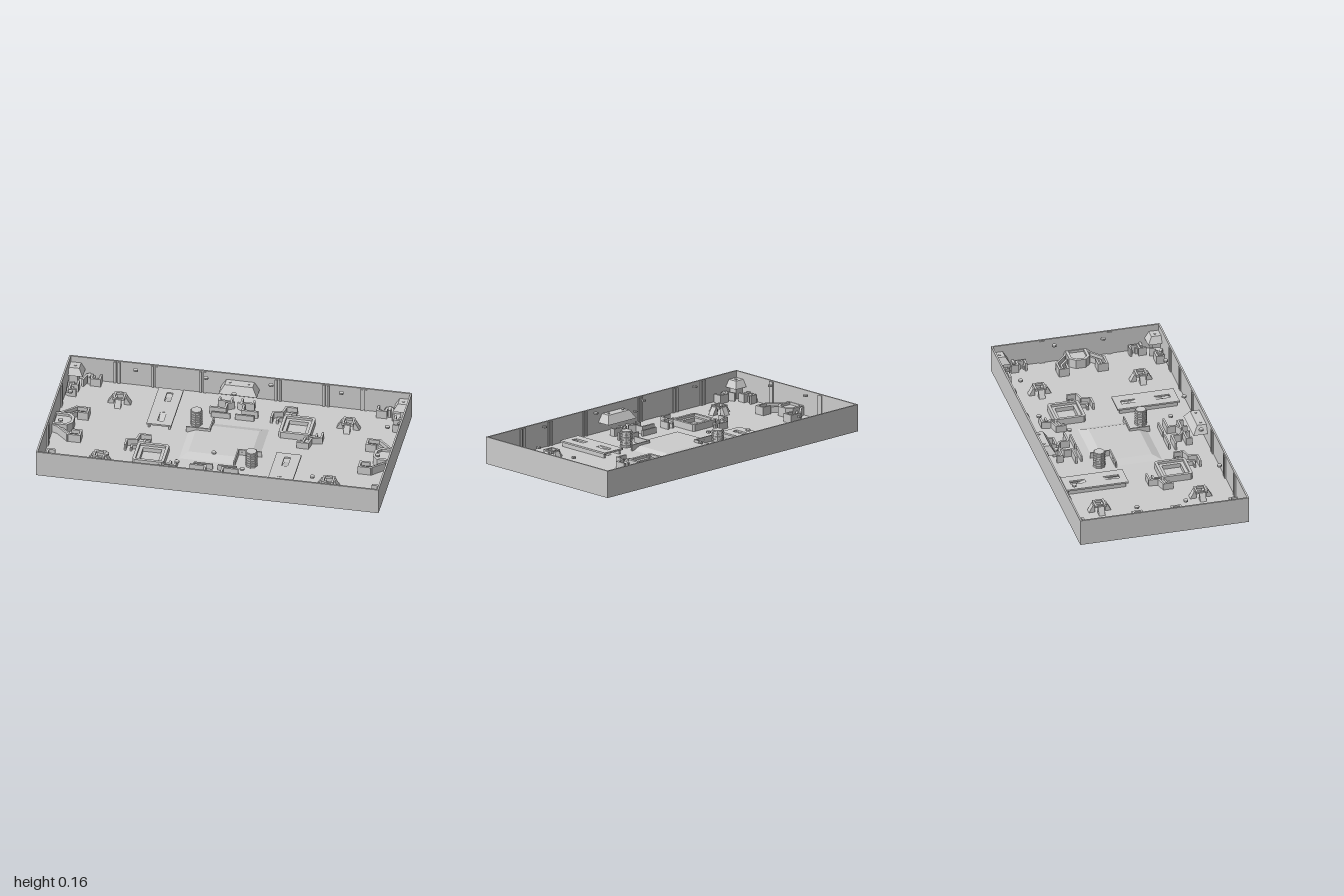
import * as THREE from 'three';

const mat = new THREE.MeshStandardMaterial({ color: 0xcccccc, flatShading: true, side: THREE.DoubleSide });
const FLOOR = 0.01;

export function createModel() {
  const root = new THREE.Group();
  root.name = 'arena';

  function add(geo, name) {
    const mesh = new THREE.Mesh(geo, mat);
    mesh.name = name;
    root.add(mesh);
    return mesh;
  }

  // Axis-aligned block; rect = [x0, x1, z0, z1], optional top rect for bevelled sides.
  // s = [sx, sz] mirrors the block into another quadrant.
  function block(name, rect, y0, y1, s = [1, 1], top = rect) {
    const place = ([a, b, c, d]) => [
      Math.min(a * s[0], b * s[0]), Math.max(a * s[0], b * s[0]),
      Math.min(c * s[1], d * s[1]), Math.max(c * s[1], d * s[1])];
    const lo = place(rect), hi = place(top);
    const geo = new THREE.BoxGeometry(1, 1, 1);
    const p = geo.attributes.position;
    for (let i = 0; i < p.count; i++) {
      const up = p.getY(i) > 0, r = up ? hi : lo;
      p.setXYZ(i, p.getX(i) > 0 ? r[1] : r[0], up ? y1 : y0, p.getZ(i) > 0 ? r[3] : r[2]);
    }
    geo.computeVertexNormals();
    return add(geo, name);
  }

  // Low wall following a list of [x, z] points
  function wall(name, pts, h, s = [1, 1], w = 0.012) {
    for (let i = 0; i < pts.length - 1; i++) {
      const [ax, az] = [pts[i][0] * s[0], pts[i][1] * s[1]];
      const [bx, bz] = [pts[i + 1][0] * s[0], pts[i + 1][1] * s[1]];
      const m = add(new THREE.BoxGeometry(Math.hypot(bx - ax, bz - az) + w, h, w), name);
      m.position.set((ax + bx) / 2, FLOOR + h / 2, (az + bz) / 2);
      m.rotation.y = -Math.atan2(bz - az, bx - ax);
    }
  }

  // Flat shape in x/z extruded upwards, with optional bevel slope and holes
  function plate(name, pts, y0, y1, holes = [], s = [1, 1]) {
    const conv = a => a.map(([x, z]) => new THREE.Vector2(x * s[0], -z * s[1]));
    const shape = new THREE.Shape(conv(pts));
    holes.forEach(h => shape.holes.push(new THREE.Path(conv(h))));
    const geo = new THREE.ExtrudeGeometry(shape, { depth: y1 - y0, bevelEnabled: false });
    geo.rotateX(-Math.PI / 2);
    add(geo, name).position.y = y0;
  }
  const square = (x0, x1, z0, z1) => [[x0, z0], [x1, z0], [x1, z1], [x0, z1]];

  // Block whose top slopes along z from ya (at z0) to yb (at z1)
  function ramp(name, x0, x1, z0, z1, ya, yb, s) {
    const m = block(name, [x0, x1, z0, z1], FLOOR, FLOOR + 0.001, s);
    const p = m.geometry.attributes.position;
    for (let i = 0; i < p.count; i++) {
      if (p.getY(i) > FLOOR) p.setY(i, Math.abs(p.getZ(i) - z0 * s[1]) < 1e-5 ? ya : yb);
    }
    m.geometry.computeVertexNormals();
  }

  const quads = [[1, 1], [-1, 1], [1, -1], [-1, -1]];
  const halves = [[1, 1], [-1, -1]];

  // Tray
  block('floor', [-1, 1, -0.5, 0.5], 0, FLOOR);
  for (const s of halves) {
    block('longWall', [-1, 1, 0.49, 0.5], FLOOR, 0.16, s);
    block('shortWall', [0.99, 1, -0.49, 0.49], FLOOR, 0.16, s);
  }

  // Wall ribs
  for (const s of quads) {
    for (const x of [0.22, 0.5, 0.72]) {
      for (const d of [-0.012, 0.012]) block('wallRib', [x + d - 0.007, x + d + 0.007, 0.483, 0.49], FLOOR, 0.155, s);
    }
    block('wallRib', [0.983, 0.99, 0.185, 0.215], FLOOR, 0.155, s);
  }

  // Floating tokens
  function token(x, z) {
    add(new THREE.CylinderGeometry(0.014, 0.014, 0.01, 8), 'token').position.set(x, 0.154, z);
  }
  for (const [sx, sz] of quads) {
    for (const [x, z] of [[0.6, 0.43], [0.19, 0.43], [0.925, 0.145]]) token(x * sx, z * sz);
  }
  for (const z of [-0.3, 0.3]) token(0, z);

  // Central plateau with two notched corners and sloped edges
  const low = [[-0.1, -0.19], [0.225, -0.19], [0.225, 0.09], [0.1, 0.09], [0.1, 0.19], [-0.225, 0.19], [-0.225, -0.09], [-0.1, -0.09]];
  const high = [[-0.1, -0.14], [0.18, -0.14], [0.18, 0.09], [0.1, 0.09], [0.1, 0.14], [-0.18, 0.14], [-0.18, -0.09], [-0.1, -0.09]];
  plate('plateauTop', high, FLOOR, 0.03);
  const slope = [];
  low.forEach((a, i) => {
    const j = (i + 1) % low.length, b = low[j], c = high[j], d = high[i];
    const A = [a[0], FLOOR, a[1]], B = [b[0], FLOOR, b[1]], C = [c[0], 0.03, c[1]], D = [d[0], 0.03, d[1]];
    slope.push(...A, ...D, ...C, ...A, ...C, ...B);
  });
  const slopeGeo = new THREE.BufferGeometry();
  slopeGeo.setAttribute('position', new THREE.Float32BufferAttribute(slope, 3));
  slopeGeo.computeVertexNormals();
  add(slopeGeo, 'plateauSlope');

  for (const s of halves) {
    // L-shaped wall in the notch of the plateau
    wall('notchWall', [[0.1, 0.2], [0.1, 0.085], [0.235, 0.085]], 0.035, s, 0.008);

    // Tower with stacked floors
    for (let i = 0; i < 6; i++) {
      for (const [r, h, dy] of [[0.036, 0.011, 0], [0.031, 0.005, 0.008]]) {
        add(new THREE.CylinderGeometry(r, r, h, 8), 'tower')
          .position.set(0.195 * s[0], FLOOR + 0.0055 + i * 0.016 + dy, 0.175 * s[1]);
      }
    }

    // Raised deck with two slots and the ramps inside them
    plate('deck', square(0.322, 0.467, 0.072, 0.44), 0.035, 0.045,
      [square(0.375, 0.41, 0.11, 0.2), square(0.375, 0.41, 0.31, 0.4)], s);
    for (const x of [0.33, 0.449]) block('deckSupport', [x, x + 0.01, 0.085, 0.427], FLOOR, 0.035, s);
    ramp('deckRamp', 0.375, 0.41, 0.11, 0.2, 0.012, 0.043, s);
    ramp('deckRamp', 0.375, 0.41, 0.31, 0.4, 0.043, 0.012, s);

    // Square bunker: tall chamfered rim, low inner step
    const cx = 0.385, cz = -0.215, o = 0.092, c = 0.012;
    const rim = [[-o + c, -o], [o - c, -o], [o, -o + c], [o, o - c], [o - c, o], [-o + c, o], [-o, o - c], [-o, -o + c]]
      .map(([x, z]) => [cx + x, cz + z]);
    const ring = r => square(cx - r, cx + r, cz - r, cz + r);
    plate('bunkerRim', rim, FLOOR, 0.05, [ring(0.075)], s);
    plate('bunkerStep', ring(0.075), FLOOR, 0.035, [ring(0.055)], s);

    // Zigzag trenches on two opposite bunker corners
    for (const k of [1, -1]) {
      const at = pts => pts.map(([x, z]) => [cx + k * x, cz + k * z]);
      wall('trenchWall', at([[-0.035, -0.168], [-0.095, -0.168], [-0.105, -0.115], [-0.16, -0.1], [-0.16, -0.05]]), 0.04, s);
      wall('trenchInner', at([[-0.035, -0.135], [-0.06, -0.135], [-0.068, -0.085], [-0.125, -0.07], [-0.125, -0.05]]), 0.025, s);
      const [p, q] = [at([[-0.1, -0.15]])[0], at([[-0.066, -0.1]])[0]];
      block('trenchStep', [p[0], q[0], p[1], q[1]], FLOOR, 0.025, s);
    }
  }

  for (const s of quads) {
    // Small cross-shaped shelter with a raised frame on sloped legs
    const x = 0.668, z = 0.3;
    plate('shelterFrame', square(x - 0.034, x + 0.034, z - 0.034, z + 0.034), 0.045, 0.06,
      [square(x - 0.022, x + 0.022, z - 0.022, z + 0.022)], s);
    for (const d of [1, -1]) {
      block('shelterLeg', [x + d * 0.03, x + d * 0.068, z - 0.018, z + 0.018], FLOOR, 0.055, s,
        [x + d * 0.03, x + d * 0.042, z - 0.018, z + 0.018]);
      block('shelterLeg', [x - 0.018, x + 0.018, z + d * 0.03, z + d * 0.066], FLOOR, 0.055, s,
        [x - 0.018, x + 0.018, z + d * 0.03, z + d * 0.042]);
    }

    // Corner turret: bevelled cap on a post
    block('cornerCap', [0.905, 0.99, 0.408, 0.49], 0.08, 0.12, s, [0.93, 0.99, 0.433, 0.49]);
    block('cornerPost', [0.94, 0.99, 0.44, 0.49], FLOOR, 0.08, s);
    add(new THREE.CylinderGeometry(0.008, 0.008, 0.004, 8), 'capStud').position.set(0.957 * s[0], 0.122, 0.46 * s[1]);

    // Stepped barricades beside the corner turret
    wall('barricade', [[0.905, 0.42], [0.89, 0.47], [0.86, 0.47], [0.86, 0.435], [0.81, 0.435], [0.81, 0.475]], 0.05, s);
    wall('barricade', [[0.925, 0.395], [0.925, 0.36], [0.965, 0.36], [0.965, 0.31], [0.93, 0.31]], 0.05, s);
    for (let i = 0; i < 3; i++) {
      block('barricadeStep', [0.82 + i * 0.025, 0.835 + i * 0.025, 0.445, 0.485], FLOOR, 0.03 + i * 0.015, s);
      block('barricadeStep', [0.945, 0.985, 0.31 + i * 0.03, 0.325 + i * 0.03], FLOOR, 0.03 + i * 0.015, s);
    }

    // Curved arms of the end gate
    wall('gateArm', [[0.99, 0.06], [0.955, 0.075], [0.885, 0.14], [0.815, 0.14], [0.815, 0.09], [0.865, 0.09]], 0.05, s);
    wall('gateArmInner', [[0.93, 0.07], [0.88, 0.115], [0.835, 0.115]], 0.035, s);

    // Forked walls in front of the side gate
    wall('forkWall', [[0.03, 0.4], [0.03, 0.37], [0.1, 0.37], [0.1, 0.395]], 0.045, s);
    wall('forkWall', [[0.015, 0.365], [0.05, 0.345], [0.05, 0.295], [0.135, 0.295]], 0.045, s);
    wall('forkWall', [[0.02, 0.26], [0.12, 0.26]], 0.035, s, 0.01);
  }

  for (const s of halves) {
    // Side gate canopy on the long wall
    block('canopy', [-0.112, 0.112, 0.406, 0.49], 0.07, 0.118, s, [-0.082, 0.082, 0.436, 0.49]);
    for (const x of [-0.055, 0.055]) {
      add(new THREE.CylinderGeometry(0.007, 0.007, 0.004, 8), 'capStud').position.set(x, 0.12, 0.463 * s[1]);
    }

    // End gate: bay with a chamfered rim
    const bay = [[0.99, -0.062], [0.905, -0.062], [0.875, -0.03], [0.875, 0.03], [0.905, 0.062], [0.99, 0.062]];
    const inner = [[0.985, -0.045], [0.912, -0.045], [0.892, -0.022], [0.892, 0.022], [0.912, 0.045], [0.985, 0.045]];
    plate('gateRim', bay, FLOOR, 0.065, [inner], s);
    plate('gateFloor', inner, FLOOR, 0.05, [], s);
  }

  return root;
}
